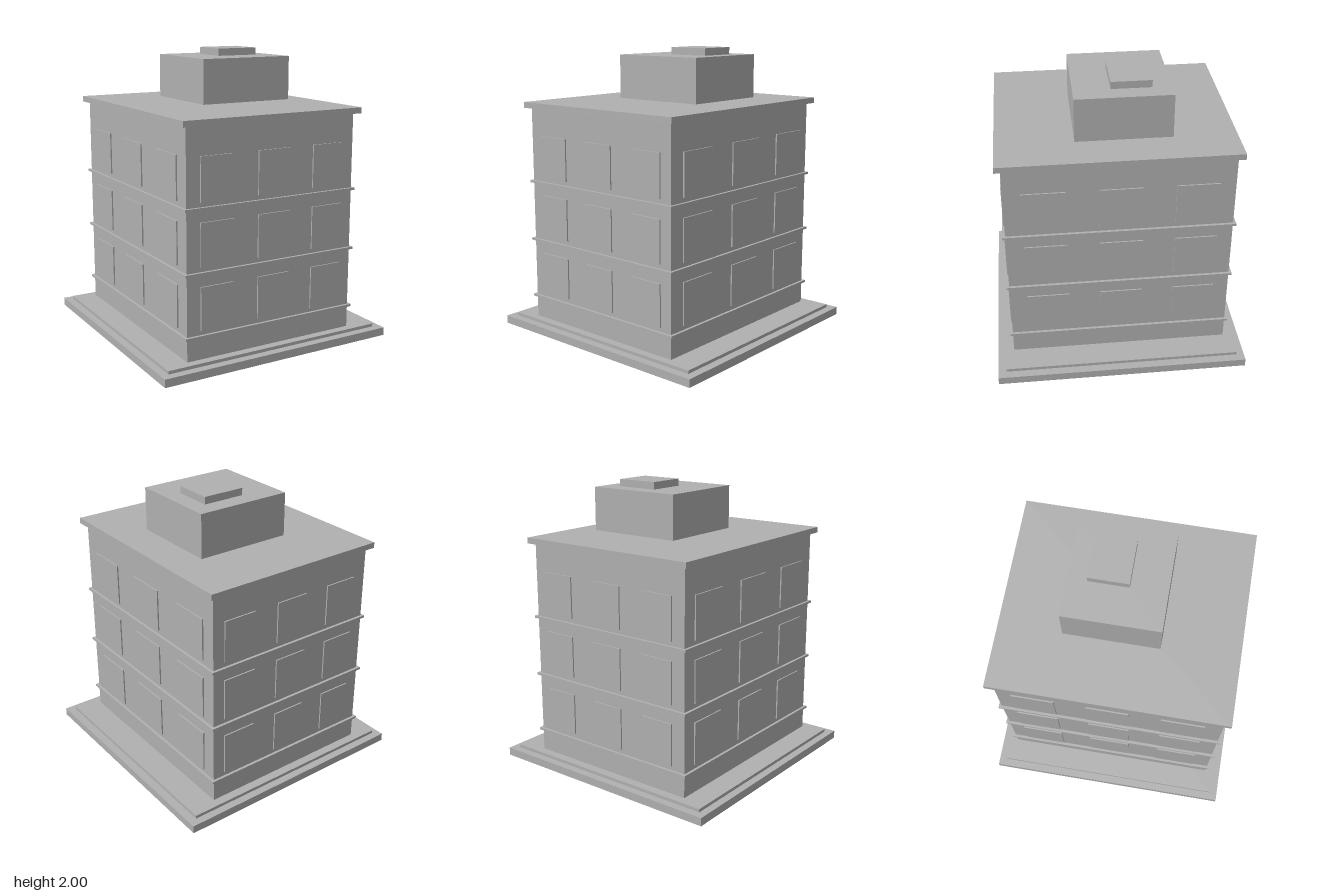
import * as THREE from 'three';

export function createModel() {
  const model = new THREE.Group();
  model.name = 'apartmentBlock';
  const concrete = new THREE.MeshStandardMaterial({ color: 0xb0b0b0 });
  concrete.name = 'concrete grey';

  // Box given by its extents along each axis
  function slab(name, [x0, x1], [y0, y1], [z0, z1], parent = model) {
    const mesh = new THREE.Mesh(new THREE.BoxGeometry(x1 - x0, y1 - y0, z1 - z0), concrete);
    mesh.position.set((x0 + x1) / 2, (y0 + y1) / 2, (z0 + z1) / 2);
    mesh.name = name;
    parent.add(mesh);
  }

  const bodyX = [-0.653, 0.622];
  const bodyZ = [-0.756, 0.756];

  // Stepped base, main block and overhanging roof
  slab('basePlinth', [-0.87, 0.87], [0, 0.056], [-0.87, 0.87]);
  slab('baseStep', [-0.817, 0.812], [0.056, 0.078], [-0.817, 0.813]);
  slab('mainBlock', bodyX, [0.078, 1.59], bodyZ);
  slab('roofSlab', [-0.69, 0.66], [1.59, 1.63], [-0.795, 0.795]);

  // Rooftop room, standing just clear of the roof, with an offset cap
  slab('rooftopRoom', [-0.26, 0.423], [1.648, 1.95], [-0.366, 0.277]);
  slab('rooftopCap', [0, 0.302], [1.95, 2], [-0.238, 0.032]);

  // Each storey has a ledge and three window panels on every wall
  const depth = 0.0095;
  for (let i = 0; i < 3; i++) {
    const storey = new THREE.Group();
    storey.name = `storey${i + 1}`;
    model.add(storey);
    const y = 0.228 + i * 0.418;
    slab('ledge', [-0.672, 0.641], [y, y + 0.016], [-0.775, 0.775], storey);

    const rise = [0.273 + i * 0.4185, 0.564 + i * 0.4185];
    for (let j = -1; j <= 1; j++) {
      const cx = -0.009 + j * 0.425;
      const cz = -0.007 + j * 0.503;
      const spanX = [cx - 0.121, cx + 0.121];
      const spanZ = [cz - 0.144, cz + 0.144];
      slab('frontWindow', spanX, rise, [bodyZ[1], bodyZ[1] + depth], storey);
      slab('backWindow', spanX, rise, [bodyZ[0] - depth, bodyZ[0]], storey);
      slab('leftWindow', [bodyX[1], bodyX[1] + depth], rise, spanZ, storey);
      slab('rightWindow', [bodyX[0] - depth, bodyX[0]], rise, spanZ, storey);
    }
  }
  return model;
}
